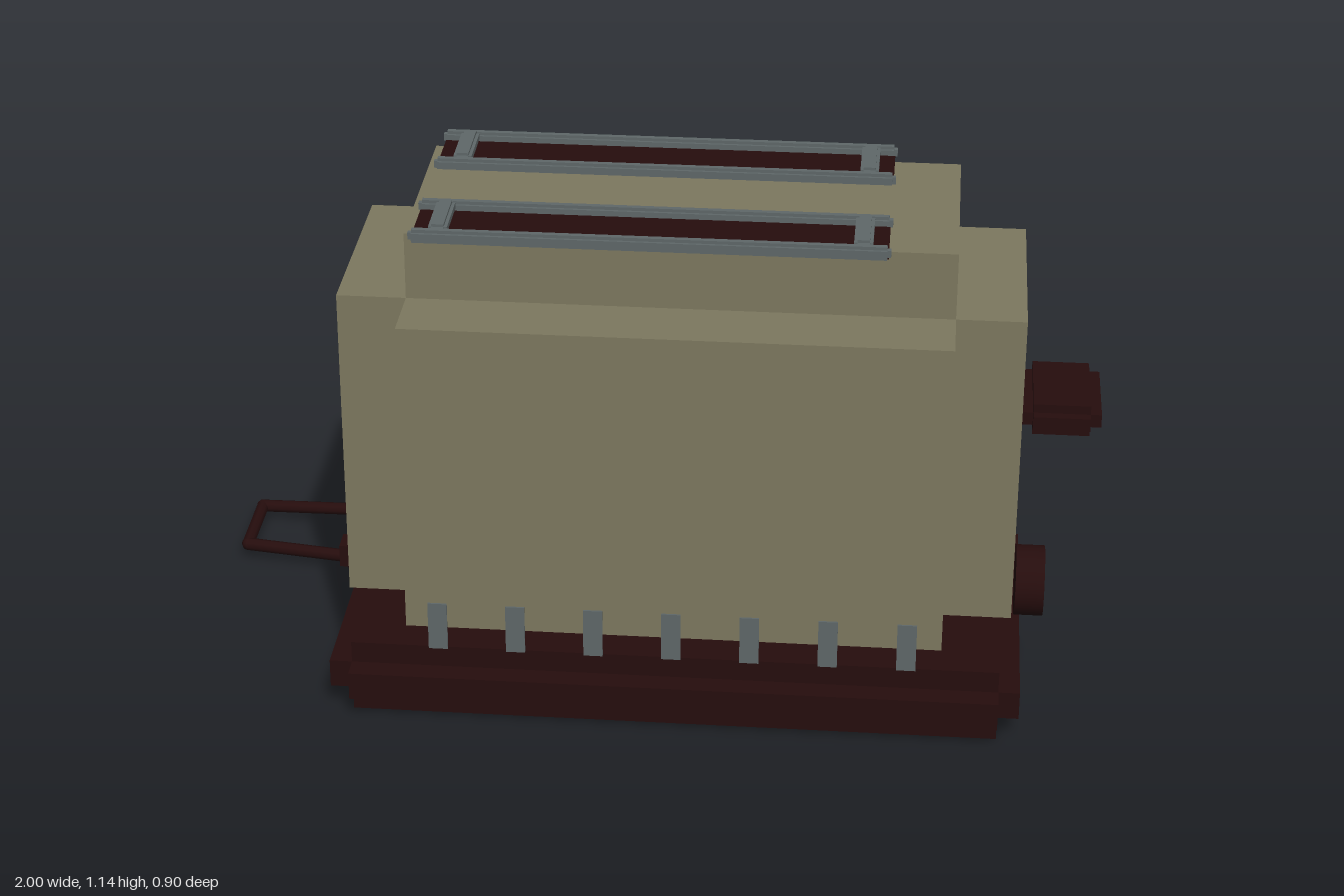
import * as THREE from 'three';

const mat = (name, color) => Object.assign(new THREE.MeshStandardMaterial({ color }), { name });

export function createModel() {
  const enamel = mat('olive enamel', 0x7d785f);
  const bakelite = mat('dark brown', 0x260d0d);
  const steel = mat('grey steel', 0x5f6869);

  const model = new THREE.Group();
  model.name = 'toaster';

  const group = (name, parent = model) => {
    const g = new THREE.Group();
    g.name = name;
    parent.add(g);
    return g;
  };

  // Box given by its [min, max] range on each axis
  const box = (parent, name, material, [x0, x1], [y0, y1], [z0, z1]) => {
    const mesh = new THREE.Mesh(new THREE.BoxGeometry(x1 - x0, y1 - y0, z1 - z0), material);
    mesh.position.set((x0 + x1) / 2, (y0 + y1) / 2, (z0 + z1) / 2);
    mesh.name = name;
    parent.add(mesh);
    return mesh;
  };

  // Three crossed boxes: each reaches the outer range on one axis only
  const steppedBlock = (parent, name, material, outer, inner) => {
    const g = group(name, parent);
    ['Width', 'Height', 'Depth'].forEach((label, axis) => {
      const r = inner.map((range, i) => (i === axis ? outer[i] : range));
      box(g, name + label, material, ...r);
    });
    return g;
  };

  // Cylinder between two points
  const rod = (parent, name, material, a, b, radius, sides) => {
    const dir = b.clone().sub(a);
    const mesh = new THREE.Mesh(new THREE.CylinderGeometry(radius, radius, dir.length(), sides), material);
    mesh.position.copy(a).add(b).multiplyScalar(0.5);
    mesh.quaternion.setFromUnitVectors(new THREE.Vector3(0, 1, 0), dir.normalize());
    mesh.name = name;
    parent.add(mesh);
    return mesh;
  };

  // Body and base
  steppedBlock(model, 'body', enamel,
    [[-0.64, 0.825], [0.16, 1.11], [-0.34, 0.435]],
    [[-0.49, 0.675], [0.24, 0.96], [-0.19, 0.285]]);
  steppedBlock(model, 'base', bakelite,
    [[-0.67, 0.85], [0, 0.17], [-0.36, 0.453]],
    [[-0.62, 0.803], [0.055, 0.12], [-0.305, 0.402]]);

  // The body's top block spans the full depth between the slot rails
  // Bread slots with rails and crossbars
  for (const z of [-0.143, 0.238]) {
    const slot = group('breadSlot');
    box(slot, 'slotOpening', bakelite, [-0.47, 0.53], [1.1, 1.118], [z - 0.062, z + 0.062]);
    for (const side of [-1, 1]) {
      const c = z + side * 0.077;
      steppedBlock(slot, 'slotRail', steel,
        [[-0.476, 0.535], [1.106, 1.136], [c - 0.012, c + 0.012]],
        [[-0.468, 0.527], [1.113, 1.129], [c - 0.006, c + 0.006]]);
    }
    for (const x of [-0.415, 0.477]) {
      steppedBlock(slot, 'slotCrossbar', steel,
        [[x - 0.02, x + 0.02], [1.117, 1.142], [z - 0.073, z + 0.073]],
        [[x - 0.013, x + 0.013], [1.123, 1.136], [z - 0.064, z + 0.064]]);
    }
  }

  // Lever with its two guide tracks
  for (const z of [-0.06, 0.156])
    box(model, 'leverTrack', steel, [0.822, 0.828], [0.31, 0.762], [z - 0.009, z + 0.009]);
  steppedBlock(model, 'lever', bakelite,
    [[0.828, 1.0], [0.628, 0.7], [-0.08, 0.174]],
    [[0.852, 0.976], [0.65, 0.68], [-0.058, 0.152]]);

  // Browning knob
  rod(model, 'browningKnob', bakelite,
    new THREE.Vector3(0.832, 0.278, 0.18), new THREE.Vector3(0.895, 0.278, 0.18), 0.078, 32);

  // Row of tabs along the lower front
  for (let i = 0; i < 7; i++) {
    const x = -0.42 + i * 0.17;
    box(model, 'frontTab', steel, [x - 0.021, x + 0.021], [0.187, 0.3], [0.433, 0.439]);
  }

  // Cord and its stepped collar
  const cord = group('cord');
  const points = [[-0.39, 0.1, -0.34], [-0.51, 0.035, -0.437], [-0.985, 0.035, -0.432],
    [-0.985, 0.035, -0.242], [-0.72, 0.035, -0.203]].map((p) => new THREE.Vector3(...p));
  points.slice(1).forEach((p, i) => {
    rod(cord, 'cordSegment', bakelite, points[i], p, 0.015, 8);
    if (i < 3) {
      const joint = new THREE.Mesh(new THREE.SphereGeometry(0.015, 8, 6), bakelite);
      joint.position.copy(p);
      joint.name = 'cordBend';
      cord.add(joint);
    }
  });
  steppedBlock(model, 'cordCollar', bakelite,
    [[-0.75, -0.6], [0.015, 0.1], [-0.255, -0.15]],
    [[-0.725, -0.61], [0.025, 0.08], [-0.232, -0.173]]);

  return model;
}
